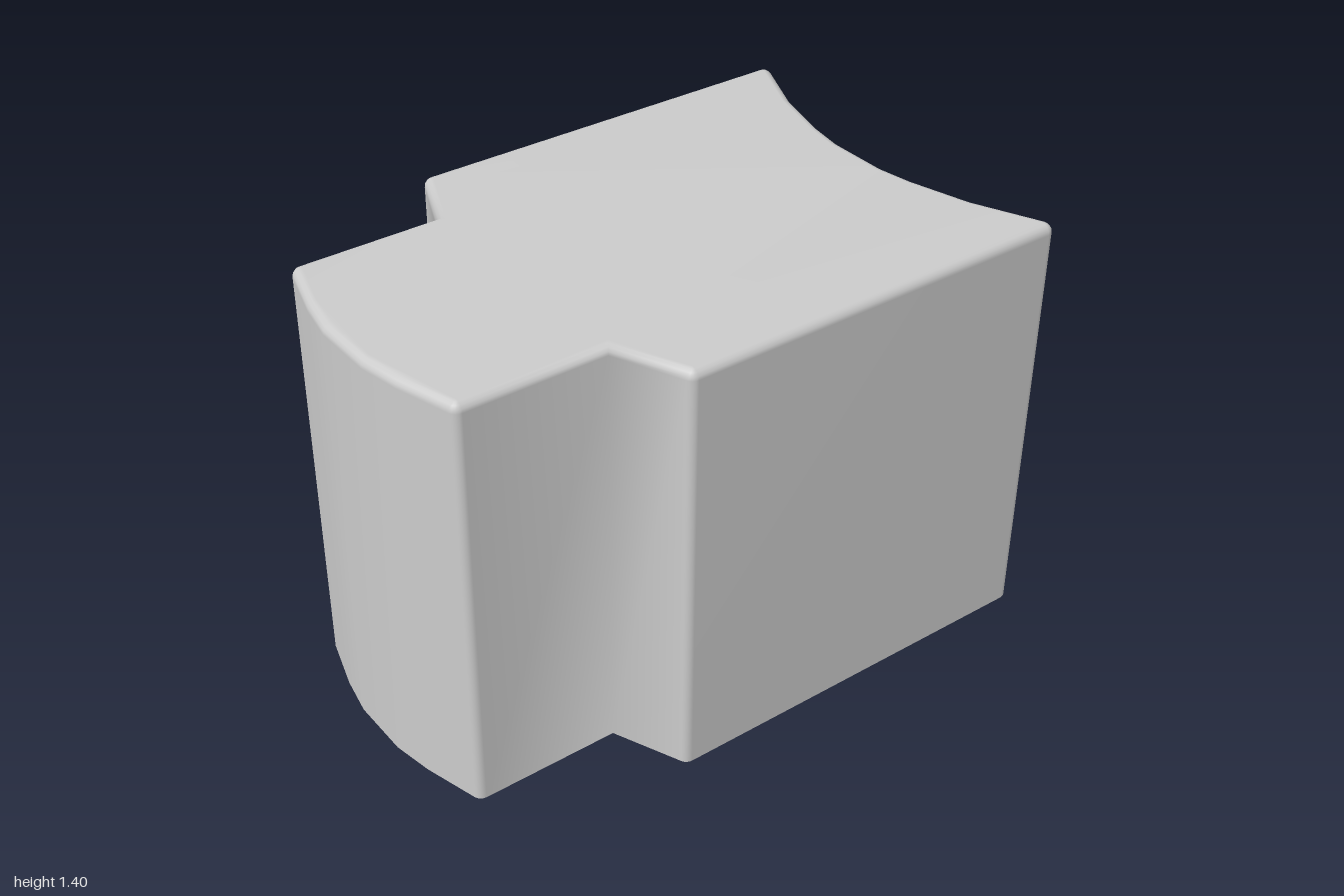
import * as THREE from 'three';
import { mergeVertices } from 'three/addons/utils/BufferGeometryUtils.js';

const HEIGHT = 1.4;
const R = 0.03; // radius of all rounded edges

// Inset plan outline, front half only, from the bowed end to the hollow end: [x, z]
const HALF = [
  [-0.97, 0.1], [-0.946, 0.23], [-0.895, 0.408], // bowed end
  [-0.42, 0.408], [-0.317, 0.645],               // shoulder
  [0.97, 0.645],                                 // pointed tip
  [0.875, 0.43], [0.82, 0.227], [0.8, 0.105],    // hollow end
];

// Pair every outline point with its outward offset; sharp convex corners get a fan of offsets
function offsetOutline(core) {
  const n = core.length;
  const normals = core.map((p, i) => {
    const q = core[(i + 1) % n];
    return new THREE.Vector2(p.y - q.y, q.x - p.x).normalize();
  });
  const ring = [];
  core.forEach((p, i) => {
    const a = normals[(i + n - 1) % n], b = normals[i];
    const turn = Math.atan2(a.cross(b), a.dot(b));
    if (turn < -0.4) {
      const steps = 4;
      for (let k = 0; k <= steps; k++) {
        ring.push({ p, o: a.clone().rotateAround(new THREE.Vector2(), turn * k / steps) });
      }
    } else {
      ring.push({ p, o: a.clone().add(b).divideScalar(1 + a.dot(b)) });
    }
  });
  return ring;
}

function shellGeometry() {
  const front = HALF.map(([x, z]) => new THREE.Vector2(x, z));
  const back = HALF.map(([x, z]) => new THREE.Vector2(x, -z)).reverse();
  const core = [...front, ...back];
  const ring = offsetOutline(core);

  // Levels: straight wall, then a quarter-round rim
  const levels = [{ d: R, y: 0 }];
  for (let k = 0; k <= 4; k++) {
    const t = (k / 4) * Math.PI / 2;
    levels.push({ d: R * Math.cos(t), y: HEIGHT - R + R * Math.sin(t) });
  }
  const positions = [];
  const put = ({ p, o }, { d, y }) => positions.push(p.x + o.x * d, y, p.y + o.y * d);
  for (let l = 0; l < levels.length - 1; l++) {
    const lo = levels[l], hi = levels[l + 1];
    ring.forEach((a, i) => {
      const b = ring[(i + 1) % ring.length];
      put(a, lo); put(b, lo); put(b, hi);
      put(a, lo); put(b, hi); put(a, hi);
    });
  }

  // Flat top
  const plan = core.map((p) => new THREE.Vector2(p.x, -p.y));
  for (const face of THREE.ShapeUtils.triangulateShape(plan, [])) {
    for (const i of face) positions.push(core[i].x, HEIGHT, core[i].y);
  }

  const raw = new THREE.BufferGeometry();
  raw.setAttribute('position', new THREE.Float32BufferAttribute(positions, 3));
  const geometry = mergeVertices(raw);
  geometry.computeVertexNormals();
  return geometry;
}

export function createModel() {
  const group = new THREE.Group();
  group.name = 'keycapShell';
  // Thin shell, open underneath
  const material = new THREE.MeshStandardMaterial({ color: 0xcccccc, side: THREE.DoubleSide });
  const shell = new THREE.Mesh(shellGeometry(), material);
  shell.name = 'shell';
  group.add(shell);
  return group;
}
